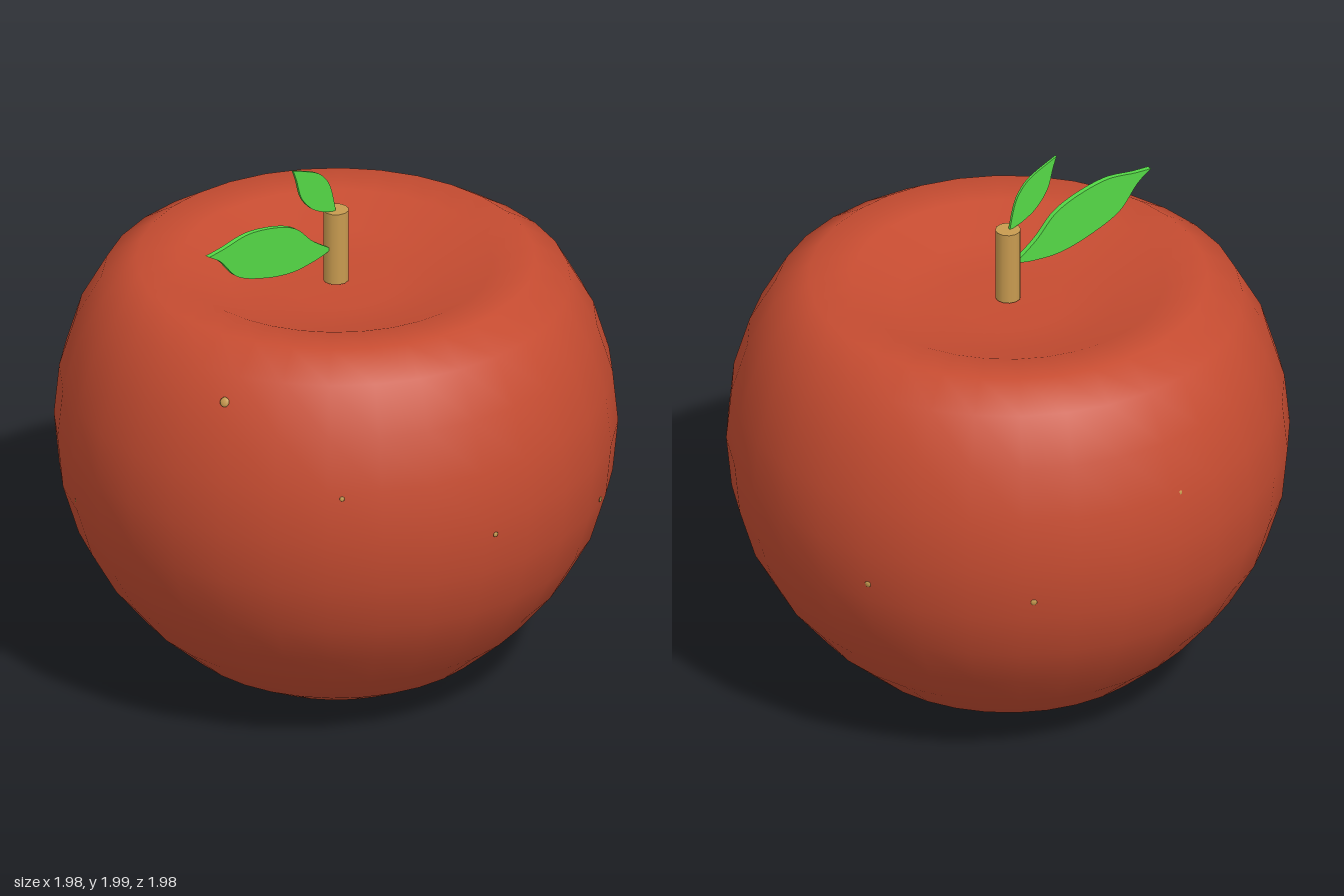
import * as THREE from 'three';

const red = new THREE.MeshStandardMaterial({ color: 0xc64c31 });
red.name = 'apple red';
const tan = new THREE.MeshStandardMaterial({ color: 0xc89b50 });
tan.name = 'stem tan';
const green = new THREE.MeshStandardMaterial({ color: 0x54d846 });
green.name = 'leaf green';

function add(group, name, geometry, material) {
  const mesh = new THREE.Mesh(geometry, material);
  mesh.name = name;
  group.add(mesh);
  return mesh;
}

// Thin leaf standing in the plane x = 0; outline points are [z, y]
function leafGeometry(lower, upper, thickness) {
  const v = (p) => new THREE.Vector2(p[0], p[1]);
  const shape = new THREE.Shape();
  shape.moveTo(lower[0][0], lower[0][1]);
  shape.splineThru(lower.slice(1).map(v));
  shape.splineThru(upper.map(v));
  const geometry = new THREE.ExtrudeGeometry(shape, { depth: thickness, bevelEnabled: false, curveSegments: 10 });
  geometry.translate(0, 0, -thickness / 2);
  return geometry.rotateY(-Math.PI / 2);
}

export function createModel() {
  const model = new THREE.Group();
  model.name = 'apple';

  // Body: round profile with a dimple underneath and a wide hollow on top
  const profile = [
    [0, 0.05], [0.193, 0.006], [0.379, 0.035], [0.55, 0.13], [0.70, 0.265], [0.823, 0.415],
    [0.915, 0.58], [0.971, 0.765], [0.99, 0.96], [0.971, 1.15], [0.915, 1.335], [0.823, 1.5],
    [0.70, 1.58], [0.55, 1.572], [0.379, 1.5], [0.193, 1.49], [0, 1.49],
  ].map(([r, y]) => new THREE.Vector2(r, y));
  add(model, 'body', new THREE.LatheGeometry(profile, 32), red);

  // Stem
  const stem = add(model, 'stem', new THREE.CylinderGeometry(0.045, 0.045, 0.275, 12), tan);
  stem.position.y = 1.6375;

  // Leaves, both leaning to the front
  add(model, 'largeLeaf', leafGeometry(
    [[0.03, 1.632], [0.1, 1.615], [0.22, 1.606], [0.35, 1.63], [0.48, 1.68], [0.56, 1.765], [0.62, 1.806]],
    [[0.55, 1.813], [0.43, 1.83], [0.3, 1.81], [0.2, 1.77], [0.12, 1.695], [0.03, 1.634]], 0.018), green);
  add(model, 'smallLeaf', leafGeometry(
    [[0.005, 1.772], [0.06, 1.787], [0.12, 1.82], [0.17, 1.88], [0.195, 1.96], [0.21, 2.0]],
    [[0.1, 1.955], [0.05, 1.91], [0.025, 1.86], [0.005, 1.774]], 0.009), green);

  // Tiny flecks lying on the skin
  const center = new THREE.Vector3(0, 0.96, 0);
  const flecks = [
    [0.3, 1.415, 0.82, 0.018], [0.72, 1.13, 0.65, 0.009], [-0.38, 0.8, 0.895, 0.008],
    [0.975, 0.91, 0.15, 0.01], [0.853, 0.785, -0.47, 0.011], [-0.38, 0.83, -0.9, 0.012],
    [-0.83, 0.83, -0.51, 0.012], [-0.965, 1.15, 0.03, 0.01],
  ];
  for (const [x, y, z, r] of flecks) {
    const fleck = add(model, 'fleck', new THREE.SphereGeometry(r, 8, 6), tan);
    fleck.position.set(x, y, z);
    fleck.lookAt(fleck.position.clone().multiplyScalar(2).sub(center));
    fleck.scale.z = 0.4;
  }

  return model;
}
